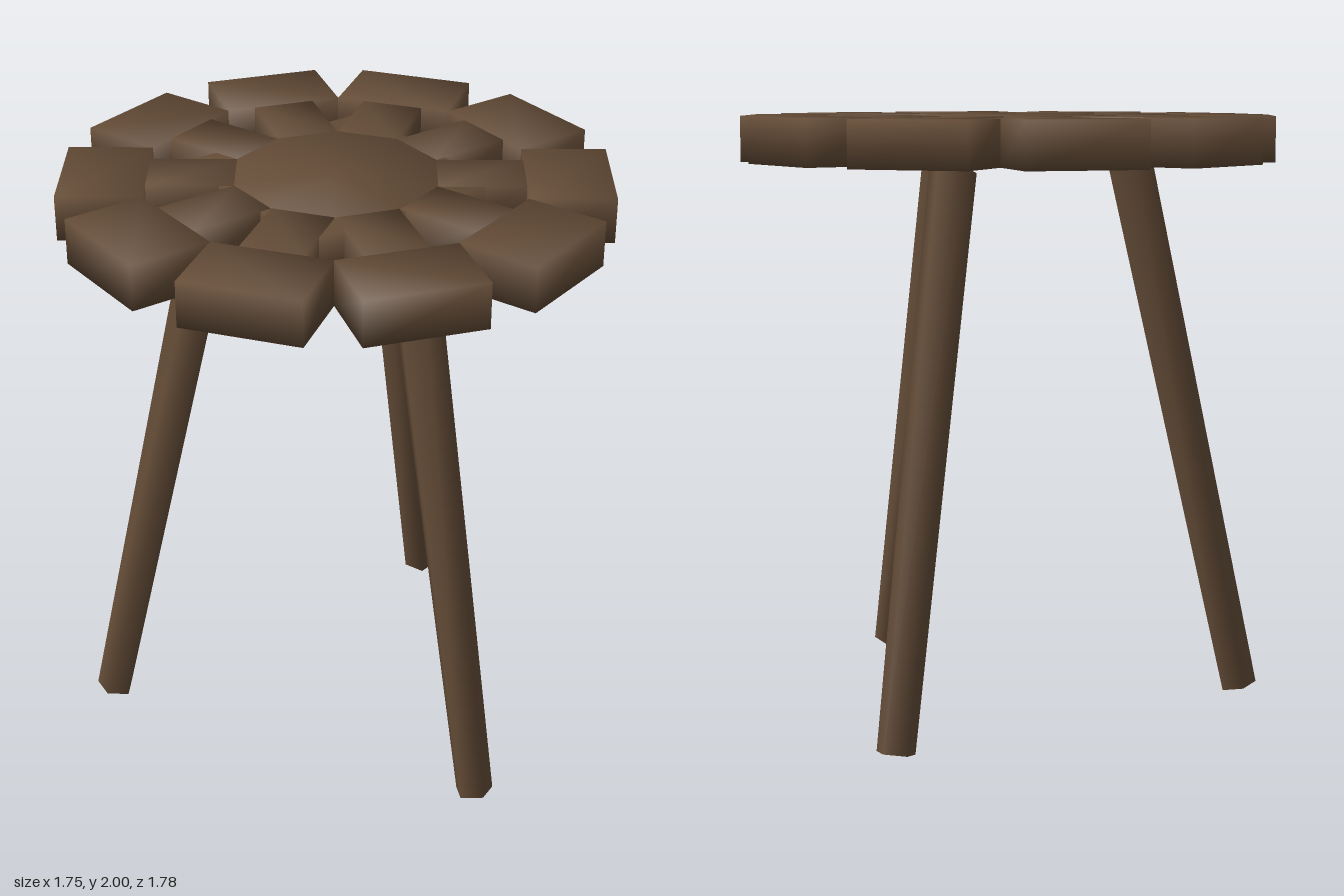
import * as THREE from 'three';
import { mergeVertices } from 'three/addons/utils/BufferGeometryUtils.js';

const SEAT_TOP = 2, SEAT_BOTTOM = 1.85;
const SEAT_H = SEAT_TOP - SEAT_BOTTOM, SEAT_MID = (SEAT_TOP + SEAT_BOTTOM) / 2;

// Share corners between faces so the shading runs smoothly over the edges
function softened(geometry) {
  geometry.deleteAttribute('normal');
  geometry.deleteAttribute('uv');
  const merged = mergeVertices(geometry, 1e-4);
  merged.computeVertexNormals();
  return merged;
}

export function createModel() {
  const wood = new THREE.MeshStandardMaterial({ color: 0x644c37 });
  wood.name = 'dark wood';

  const model = new THREE.Group();
  model.name = 'stool';

  function add(parent, name, geometry, x, y, z) {
    const mesh = new THREE.Mesh(geometry, wood);
    mesh.name = name;
    mesh.position.set(x, y, z);
    parent.add(mesh);
    return mesh;
  }

  // Ten-sided seat centre and the square block set into it
  add(model, 'seatCentre', softened(new THREE.CylinderGeometry(0.337, 0.337, SEAT_H, 10)), 0, SEAT_MID, 0);
  add(model, 'seatBlock', softened(new THREE.BoxGeometry(0.715, SEAT_H - 0.004, 0.715)), 0, SEAT_MID, 0);

  // Ten spokes, each ending in a wider block
  const spoke = softened(new THREE.BoxGeometry(0.28, SEAT_H, 0.205));
  const rimBlock = softened(new THREE.BoxGeometry(0.275, SEAT_H, 0.39));
  for (let i = 0; i < 10; i++) {
    const arm = new THREE.Group();
    arm.name = 'seatArm';
    arm.rotation.y = (i * Math.PI) / 5;
    add(arm, 'spoke', spoke, 0.46, SEAT_MID, 0);
    add(arm, 'rimBlock', rimBlock, 0.737, SEAT_MID, 0);
    model.add(arm);
  }

  // Three splayed, tapering five-sided legs
  const topRadius = 0.405, footRadius = 0.805, topY = 1.833, footY = 0.015;
  const spread = footRadius - topRadius, rise = topY - footY;
  const legGeometry = softened(
    new THREE.CylinderGeometry(0.081, 0.065, Math.hypot(spread, rise), 5, 1, false, -0.157)
  );
  for (let i = 0; i < 3; i++) {
    const pivot = new THREE.Group();
    pivot.name = 'legPivot';
    pivot.rotation.y = (i * Math.PI * 2) / 3;
    const leg = add(pivot, 'leg', legGeometry, 0, (topY + footY) / 2, (topRadius + footRadius) / 2);
    leg.rotation.x = -Math.atan2(spread, rise);
    model.add(pivot);
  }

  return model;
}
